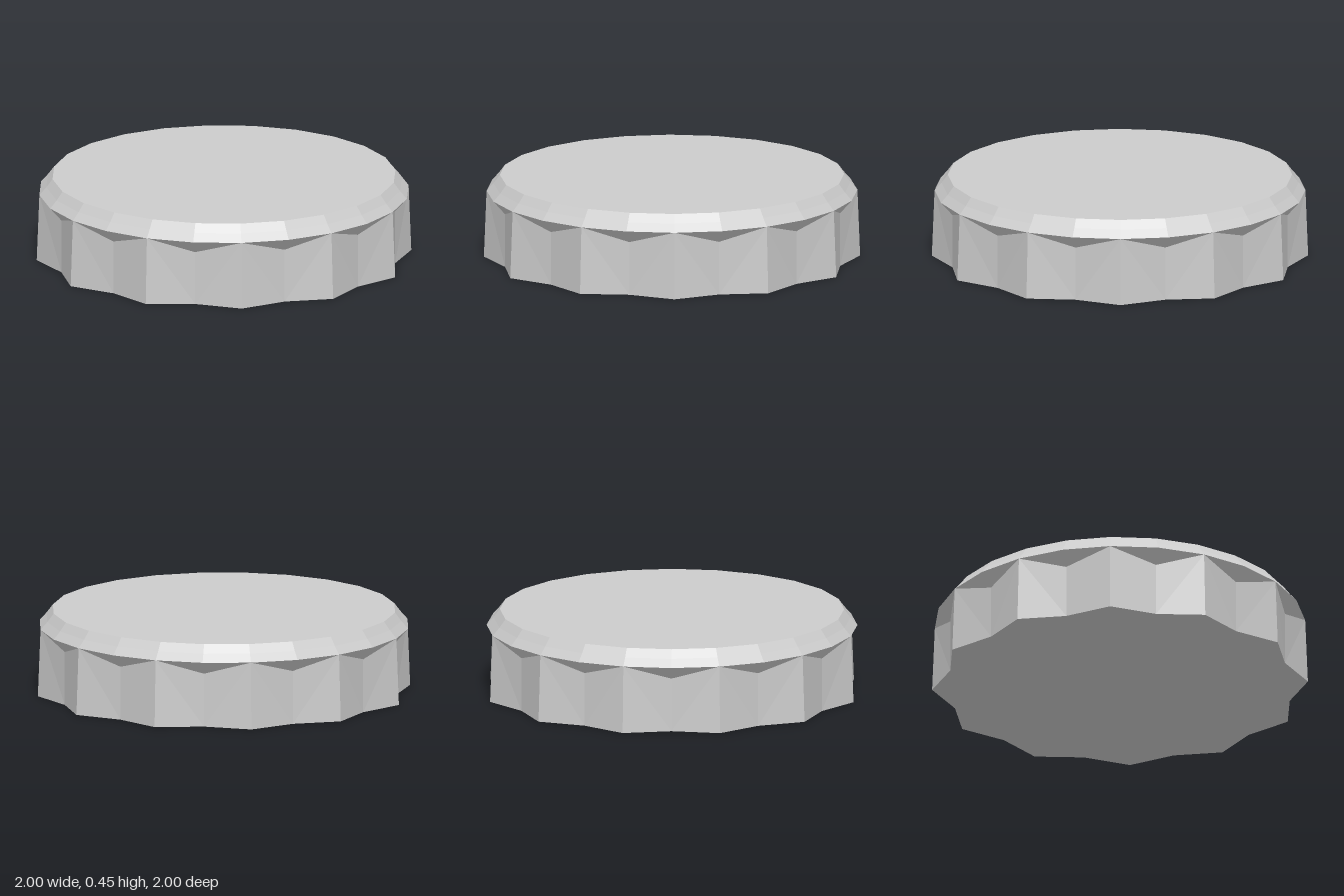
import * as THREE from 'three';

const SIDES = 24; // alternating ridge (even) and notch (odd) columns

// Ring of 24 points; radius and height may differ on ridges and notches
function ring(ridgeR, ridgeY, notchR = ridgeR, notchY = ridgeY) {
  return Array.from({ length: SIDES }, (_, i) => {
    const a = THREE.MathUtils.degToRad(7.5 + 15 * i);
    const r = i % 2 ? notchR : ridgeR;
    return new THREE.Vector3(r * Math.sin(a), i % 2 ? notchY : ridgeY, r * Math.cos(a));
  });
}

// Faceted geometry from triangles given as corner triples
function facets(tris) {
  const g = new THREE.BufferGeometry().setFromPoints(tris.flat());
  g.computeVertexNormals();
  return g;
}

// Band of quads between a lower and an upper ring
function band(low, high) {
  const tris = [];
  for (let i = 0; i < SIDES; i++) {
    const j = (i + 1) % SIDES;
    // the diagonal always starts at the notch foot, so both halves of a ridge match
    if (i % 2) tris.push([low[i], low[j], high[j]], [low[i], high[j], high[i]]);
    else tris.push([low[i], low[j], high[i]], [low[j], high[j], high[i]]);
  }
  return tris;
}

// Flat lid fanned from the axis
function lid(pts, y, up) {
  const c = new THREE.Vector3(0, y, 0);
  return pts.map((p, i) => {
    const q = pts[(i + 1) % SIDES];
    return up ? [c, p, q] : [c, q, p];
  });
}

export function createModel() {
  const group = new THREE.Group();
  group.name = 'flutedCap';
  const grey = new THREE.MeshStandardMaterial({ color: 0xcccccc, flatShading: true });
  grey.name = 'light grey';

  const foot = ring(1.0085, 0, 0.93, 0);
  const gripTop = ring(0.994, 0.363, 0.93, 0.29);
  const rim = ring(0.994, 0.363);
  const middle = ring(0.957, 0.405);
  const top = ring(0.923, 0.45);

  // Overhang above each notch: a triangle to either neighbouring ridge
  const overhang = [];
  for (let i = 1; i < SIDES; i += 2) {
    const next = (i + 1) % SIDES;
    overhang.push([gripTop[i], rim[i], rim[i - 1]], [gripTop[i], rim[next], rim[i]]);
  }

  const parts = {
    gripWall: band(foot, gripTop),
    notchOverhang: overhang,
    bevel: [...band(rim, middle), ...band(middle, top)],
    topFace: lid(top, 0.45, true),
    bottomFace: lid(foot, 0, false),
  };
  for (const [name, tris] of Object.entries(parts)) {
    const mesh = new THREE.Mesh(facets(tris), grey);
    mesh.name = name;
    group.add(mesh);
  }
  return group;
}
